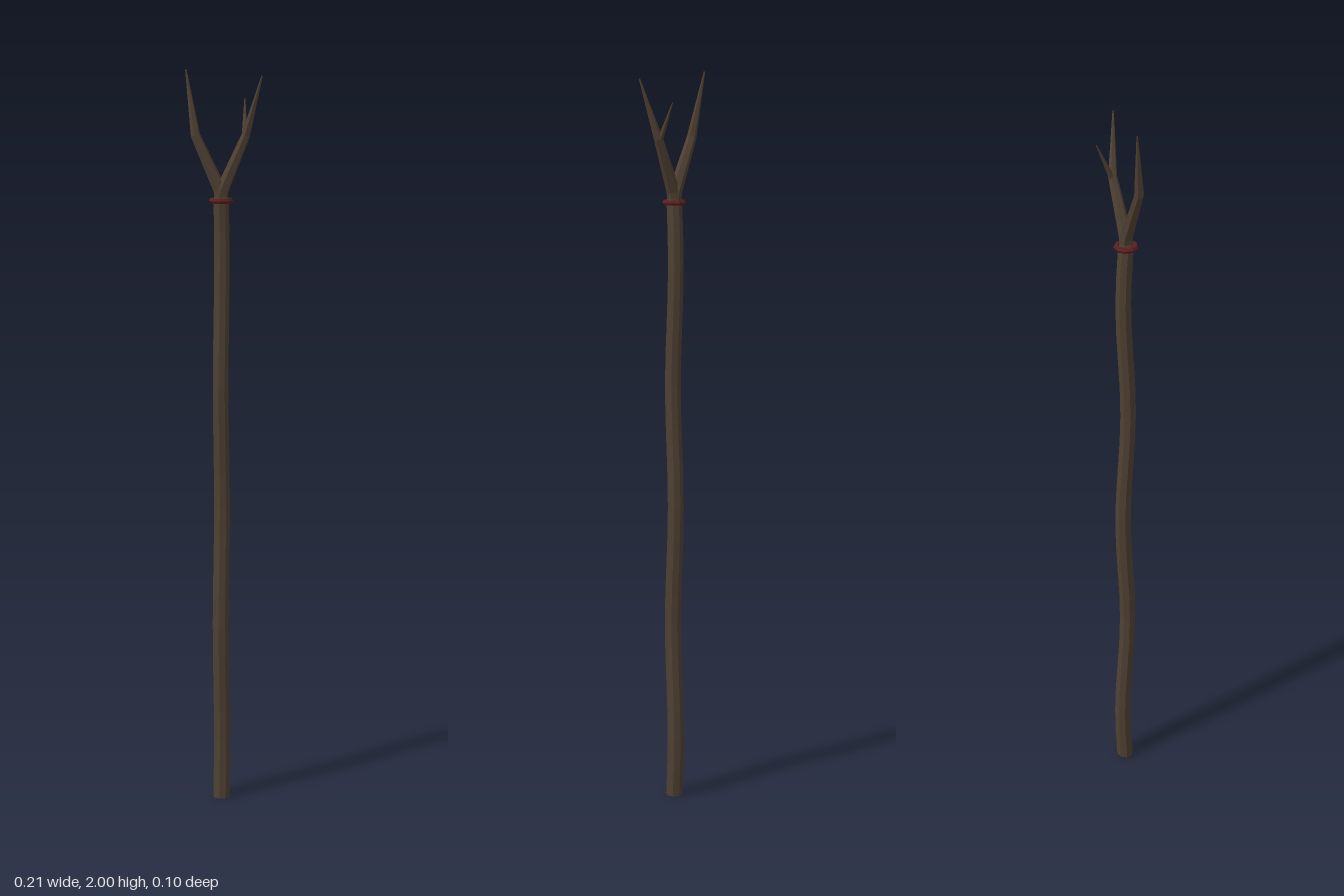
import * as THREE from 'three';

const wood = new THREE.MeshStandardMaterial({ color: 0x4f4032, flatShading: true });
wood.name = 'dark wood';
const cord = new THREE.MeshStandardMaterial({ color: 0x5a1f1f, flatShading: true });
cord.name = 'dark red binding';

const UP = new THREE.Vector3(0, 1, 0);
const CX = -0.008, CZ = 0.015, SHAFT_TOP = 1.66;

// Bends a cylinder along rows of [x, y, z, radius]; level keeps every ring horizontal
function limb(name, rows, sides, level = false) {
  const n = rows.length - 1;
  const points = rows.map(([x, y, z]) => new THREE.Vector3(x, y, z));
  const turns = points.map((p, i) => {
    const along = points[Math.min(i + 1, n)].clone().sub(points[Math.max(i - 1, 0)]).normalize();
    return new THREE.Quaternion().setFromUnitVectors(UP, level ? UP : along);
  });
  const geometry = new THREE.CylinderGeometry(1, 1, 1, sides, n);
  const pos = geometry.attributes.position;
  const v = new THREE.Vector3();
  for (let i = 0; i < pos.count; i++) {
    v.fromBufferAttribute(pos, i);
    const row = Math.round((v.y + 0.5) * n);
    v.setY(0).multiplyScalar(rows[row][3]).applyQuaternion(turns[row]).add(points[row]);
    pos.setXYZ(i, v.x, v.y, v.z);
  }
  geometry.computeVertexNormals();
  const mesh = new THREE.Mesh(geometry, wood);
  mesh.name = name;
  return mesh;
}

export function createModel() {
  const group = new THREE.Group();
  group.name = 'forkedStaff';

  // Gently wavy shaft
  const rows = [];
  for (let i = 0; i <= 20; i++) {
    const t = i / 20;
    rows.push([CX, t * SHAFT_TOP, CZ - 0.007 * Math.sin(t * Math.PI * 5), 0.0235 - 0.0025 * t]);
  }
  group.add(limb('shaft', rows, 8, true));

  // Binding ring below the fork
  const ring = new THREE.Mesh(new THREE.TorusGeometry(0.025, 0.0075, 6, 9), cord);
  ring.name = 'bindingRing';
  ring.rotation.x = Math.PI / 2;
  ring.position.set(CX, SHAFT_TOP, CZ);
  group.add(ring);

  // Two bent prongs and a small side tine
  group.add(
    limb('rightProng', [
      [CX + 0.004, 1.65, CZ, 0.019],
      [CX - 0.004, 1.69, CZ, 0.018],
      [-0.074, 1.83, 0.029, 0.013],
      [-0.104, 2.0, 0.014, 0.002],
    ], 6),
    limb('leftProng', [
      [CX - 0.004, 1.65, CZ, 0.019],
      [CX + 0.004, 1.69, CZ, 0.018],
      [0.054, 1.83, -0.002, 0.012],
      [0.102, 1.985, 0.014, 0.002],
    ], 6),
    limb('sideTine', [
      [0.052, 1.815, 0.0, 0.009],
      [0.04, 1.925, -0.048, 0.0015],
    ], 5),
  );
  return group;
}
